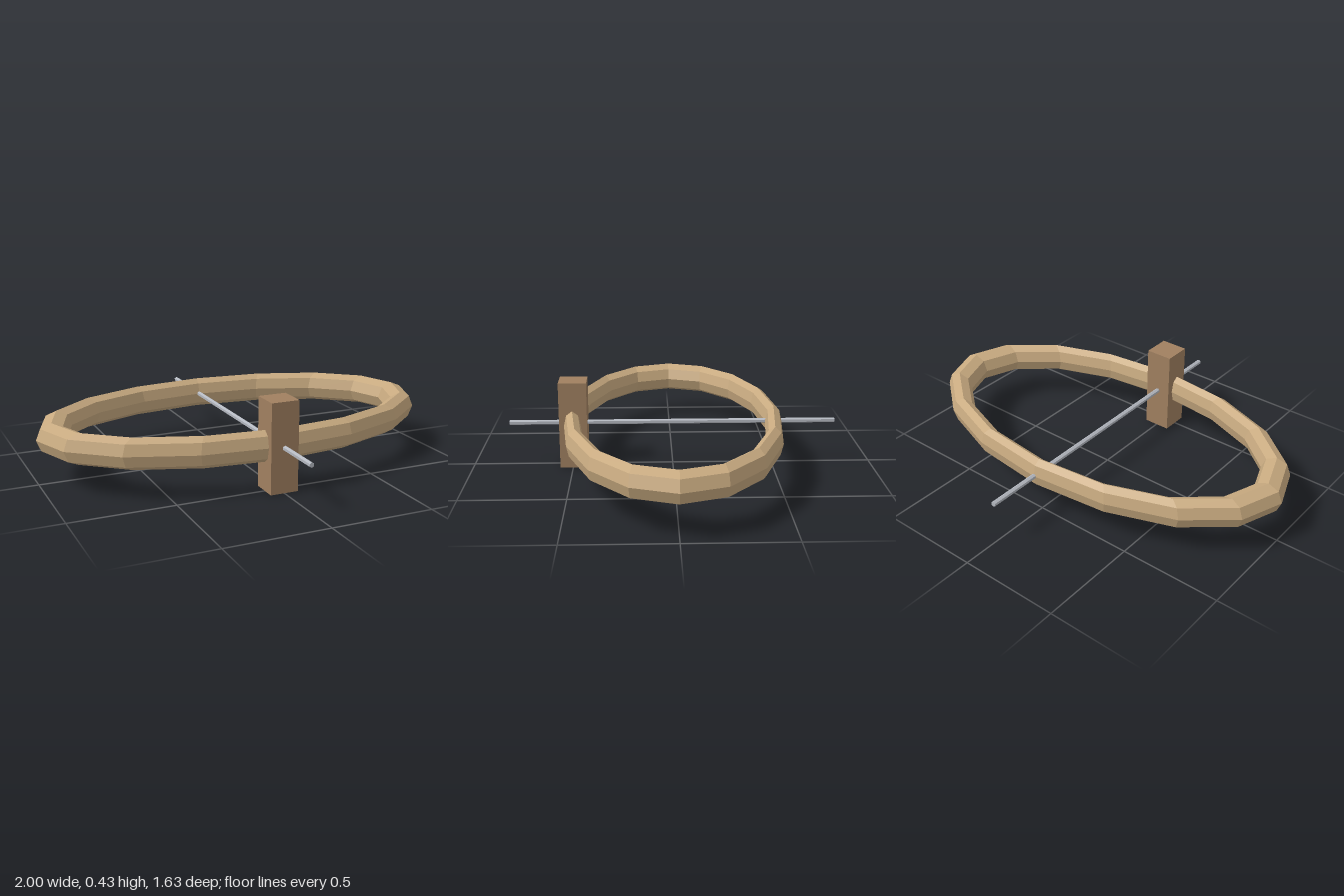
import * as THREE from 'three';

const AXIS_Y = 0.217; // height of the ring plane and the rod

function part(name, geometry, color) {
  const material = new THREE.MeshStandardMaterial({ color, flatShading: true });
  const mesh = new THREE.Mesh(geometry, material);
  mesh.name = name;
  return mesh;
}

export function createModel() {
  const model = new THREE.Group();
  model.name = 'ringOnPost';

  // Faceted wooden hoop, squeezed front to back into an oval
  const hoop = new THREE.TorusGeometry(0.925, 0.076, 8, 16);
  hoop.rotateX(Math.PI / 2);
  hoop.scale(1, 1, 0.547);
  hoop.translate(0, AXIS_Y, 0);
  model.add(part('ovalRing', hoop, 0xc8aa80));

  // Square block that the front of the hoop passes through
  const block = new THREE.BoxGeometry(0.138, 0.434, 0.138);
  block.translate(0, 0.217, 0.495);
  model.add(part('block', block, 0xa08060));

  // Thin metal rod through the block and across the hoop
  const rod = new THREE.CylinderGeometry(0.0125, 0.0125, 1.63, 6);
  rod.rotateX(Math.PI / 2);
  rod.translate(0, AXIS_Y, 0);
  model.add(part('rod', rod, 0xb4b8c0));

  return model;
}
